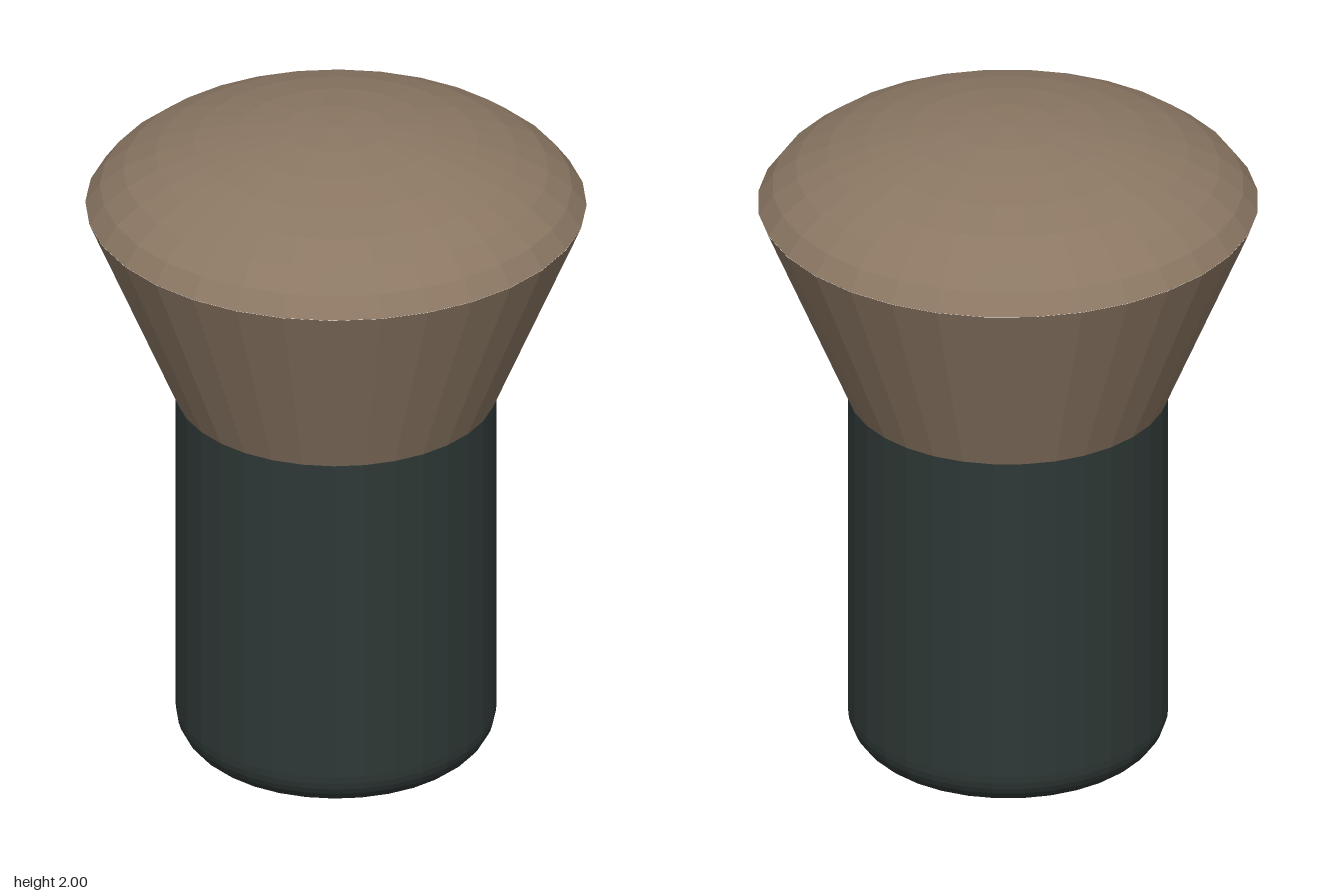
import * as THREE from 'three';

const SIDES = 32;

// Revolve a profile of [radius, height] points, listed from bottom to top
function turned(name, profile, material) {
  const points = profile.map(([r, y]) => new THREE.Vector2(r, y));
  const mesh = new THREE.Mesh(new THREE.LatheGeometry(points, SIDES), material);
  mesh.name = name;
  return mesh;
}

export function createModel() {
  const model = new THREE.Group();
  model.name = 'stopper';

  const wood = new THREE.MeshStandardMaterial({ color: 0x8b7763, flatShading: true });
  wood.name = 'brown cap';
  const rubber = new THREE.MeshStandardMaterial({ color: 0x2e3836, flatShading: true });
  rubber.name = 'dark plug';

  // Plug: straight cylinder with a rounded bottom edge
  const radius = 0.465, round = 0.115, neck = 1.135;
  const plug = [[0, 0]];
  for (let i = 0; i <= 8; i++) {
    const a = (i / 8) * Math.PI / 2;
    plug.push([radius - round + round * Math.sin(a), round - round * Math.cos(a)]);
  }
  plug.push([radius, neck]);
  model.add(turned('plug', plug, rubber));

  // Flared collar widening up to the rim
  model.add(turned('collar', [[0, neck], [radius, neck], [0.726, 1.75]], wood));

  // Dome: flattened sphere rows above the rim
  const dome = [];
  for (let i = 7; i >= 0; i--) {
    const a = i * Math.PI / 16;
    dome.push([0.74 * Math.sin(a), 1.69 + 0.31 * Math.cos(a)]);
  }
  model.add(turned('dome', dome, wood));

  return model;
}
